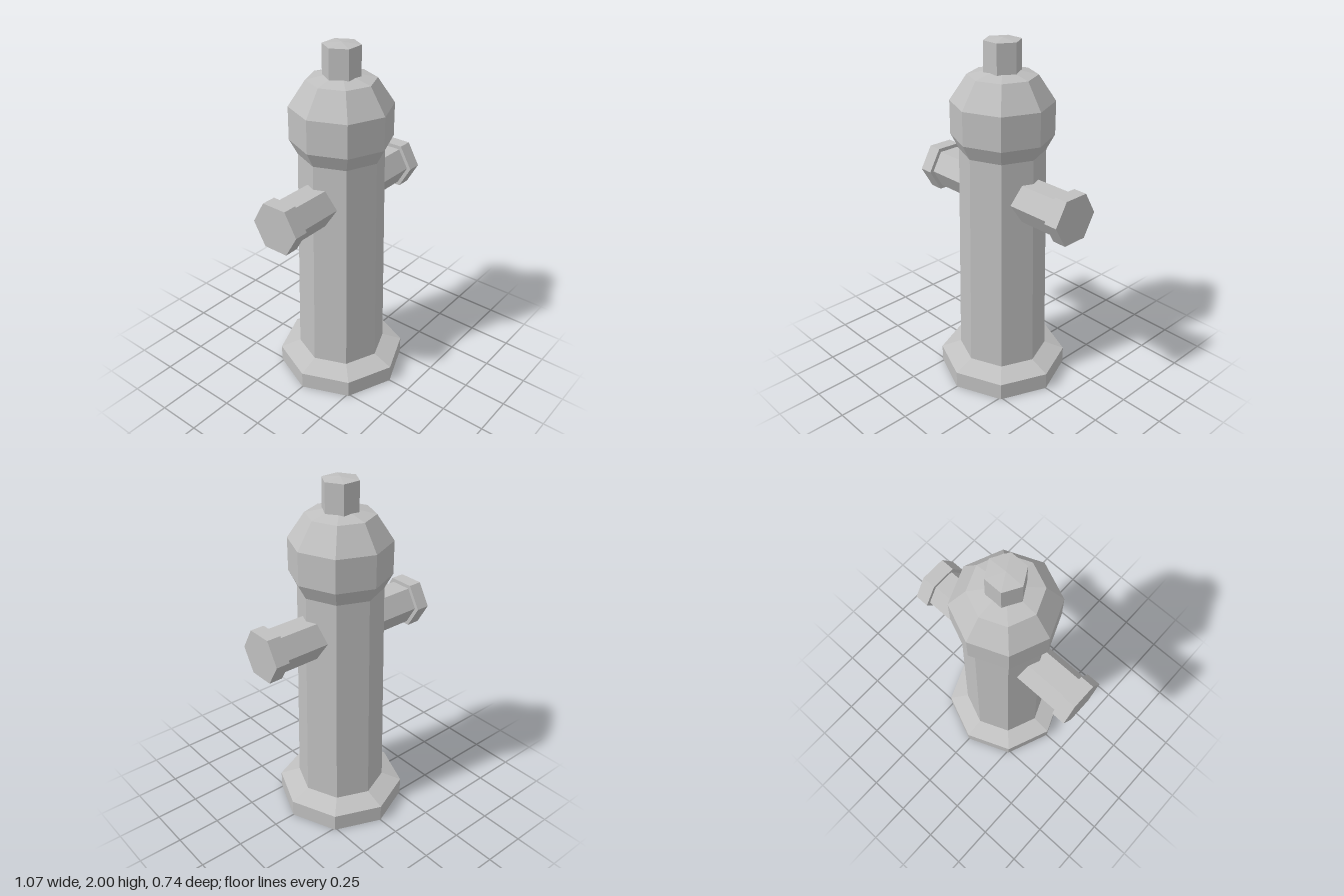
import * as THREE from 'three';

export function createModel() {
  const model = new THREE.Group();
  model.name = 'hydrant';
  const grey = new THREE.MeshStandardMaterial({ color: 0xc0c0c0, flatShading: true });
  grey.name = 'plain grey';

  // Faceted turned part from a bottom-to-top [radius, height] profile
  const turned = (name, profile, sides, start = 0) => {
    const points = profile.map(([r, y]) => new THREE.Vector2(r, y));
    const mesh = new THREE.Mesh(new THREE.LatheGeometry(points, sides, start), grey);
    mesh.name = name;
    return mesh;
  };

  // Eight-sided foot, tapered barrel and bonnet
  model.add(turned('body', [
    [0, 0], [0.37, 0], [0.37, 0.1], [0.255, 0.145], [0.235, 1.4],
    [0.28, 1.485], [0.28, 1.67], [0.187, 1.81], [0, 1.85],
  ], 8));

  // Six-sided operating nut with a slightly crowned top
  model.add(turned('topNut', [[0, 1.8], [0.102, 1.8], [0.102, 1.99], [0, 2]], 6, Math.PI / 2));

  // Side outlets, each a hexagonal pipe with a wider cap
  for (const side of [1, -1]) {
    const outlet = new THREE.Group();
    outlet.name = side > 0 ? 'leftOutlet' : 'rightOutlet';
    const pipe = turned('outletPipe', [[0, 0.18], [0.121, 0.18], [0.121, 0.47], [0, 0.47]], 6);
    const cap = turned('outletCap', [[0, 0.457], [0.145, 0.457], [0.145, 0.537], [0, 0.537]], 6);
    outlet.add(pipe, cap);
    outlet.rotation.z = -side * Math.PI / 2;
    outlet.position.y = 1.163;
    model.add(outlet);
  }
  return model;
}
